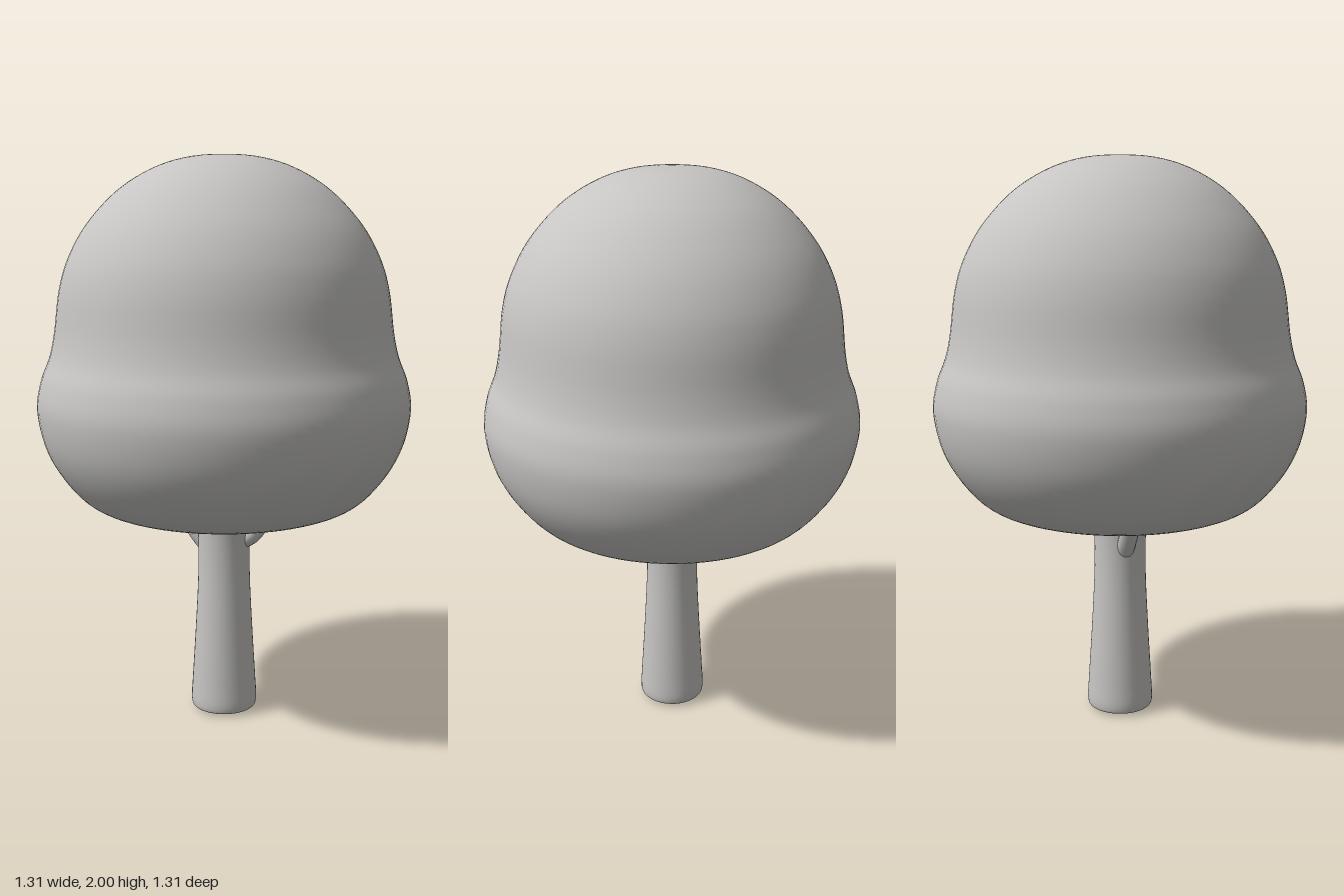
import * as THREE from 'three';

const grey = new THREE.MeshStandardMaterial({ color: 0xc6c5c3 });
grey.name = 'pale grey';

// Smooth solid of revolution through [radius, height] points, bottom to top
function lathe(name, points, steps, segments) {
  const curve = new THREE.SplineCurve(points.map(([r, y]) => new THREE.Vector2(r, y)));
  const profile = curve.getPoints(steps);
  profile.forEach((p) => { p.x = Math.max(p.x, 0); });
  const mesh = new THREE.Mesh(new THREE.LatheGeometry(profile, segments), grey);
  mesh.name = name;
  return mesh;
}

export function createModel() {
  const tree = new THREE.Group();
  tree.name = 'tree';

  // Two-tiered rounded crown
  tree.add(lathe('crown', [
    [0, 0.725], [0.17, 0.731], [0.34, 0.753], [0.475, 0.798], [0.565, 0.885], [0.63, 1.0],
    [0.657, 1.13], [0.643, 1.23], [0.611, 1.315], [0.592, 1.4], [0.573, 1.54], [0.54, 1.65],
    [0.475, 1.765], [0.37, 1.877], [0.25, 1.952], [0.13, 1.99], [0, 2.0],
  ], 96, 80));

  // Flared trunk with a rounded foot
  tree.add(lathe('trunk', [
    [0, 0], [0.06, 0.002], [0.105, 0.008], [0.12, 0.028], [0.116, 0.12], [0.105, 0.3],
    [0.095, 0.5], [0.094, 0.65], [0.1, 0.76],
  ], 56, 40));

  // Short branches rising from the trunk into the crown
  [['rightBranch', -1, 0.6], ['leftBranch', 1, 0.635]].forEach(([name, side, y]) => {
    const path = new THREE.CatmullRomCurve3([
      new THREE.Vector3(side * 0.05, y, 0),
      new THREE.Vector3(side * 0.105, 0.668, 0),
      new THREE.Vector3(side * 0.165, 0.76, 0),
    ]);
    const branch = new THREE.Mesh(new THREE.TubeGeometry(path, 12, 0.033, 16), grey);
    branch.name = name;
    tree.add(branch);
  });

  return tree;
}
